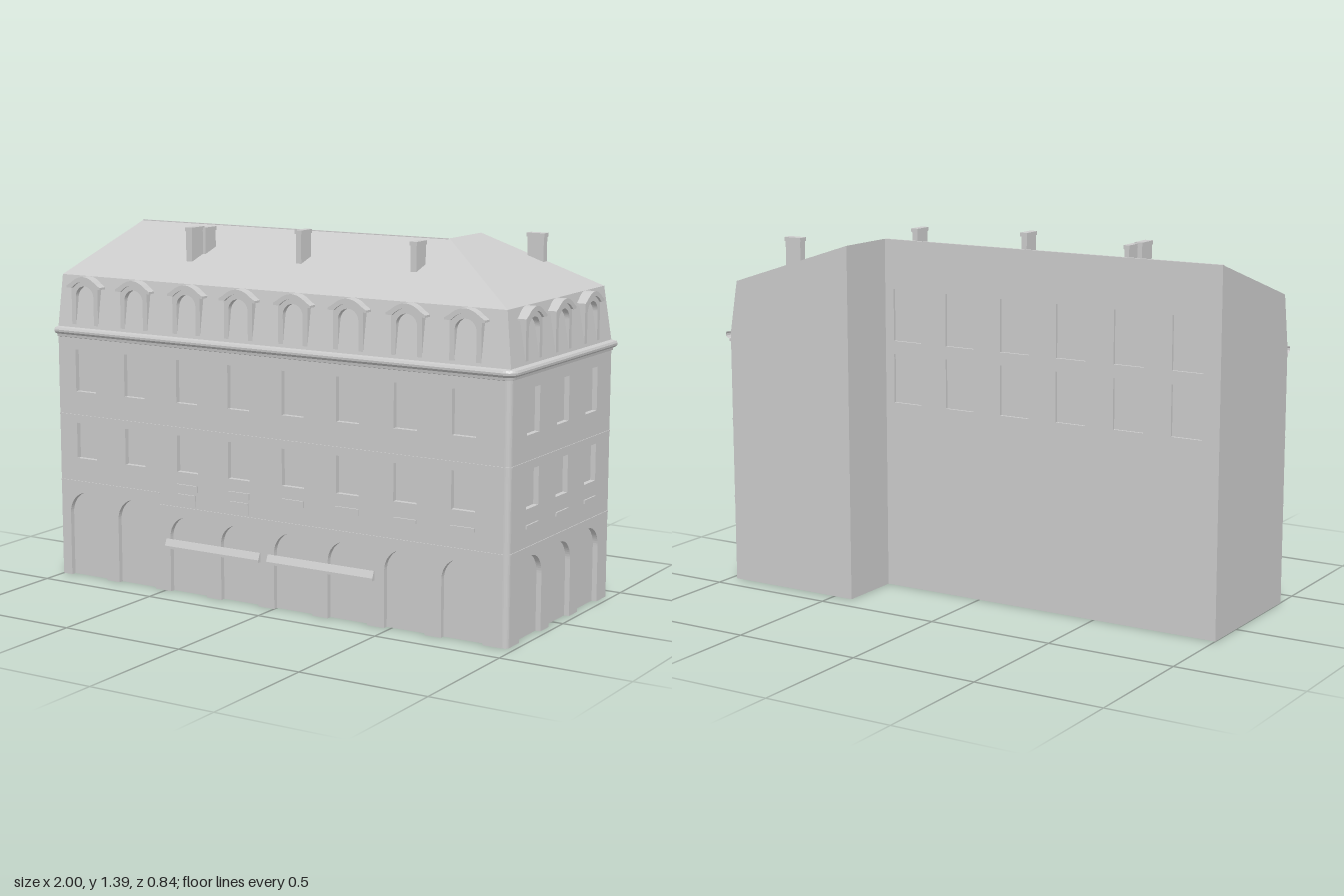
import * as THREE from 'three';

const mat = new THREE.MeshStandardMaterial({ color: 0xcccccc, side: THREE.DoubleSide, flatShading: true });
const FRONT = 0.395, RIGHT = 0.975, BACK = -0.42, R = 0.02; // wall faces and corner radius
const INNER_X = 0.42, INNER_Z = -0.17, RIDGE = 1.36, EAVES = 1.19, CORNICE = 0.985;
const frontCols = [-0.87, -0.635, -0.39, -0.155, 0.085, 0.32, 0.56, 0.795];
const sideCols = [-0.217, 0.018, 0.255]; // measured along -z

function add(parent, name, geo, x = 0, y = 0, z = 0) {
  const m = new THREE.Mesh(geo, mat);
  m.name = name;
  m.position.set(x, y, z);
  parent.add(m);
  return m;
}

function box(parent, name, x0, x1, y0, y1, z0, z1) {
  return add(parent, name, new THREE.BoxGeometry(x1 - x0, y1 - y0, z1 - z0),
    (x0 + x1) / 2, (y0 + y1) / 2, (z0 + z1) / 2);
}

// flat convex polygon as a triangle fan
function poly(parent, name, pts) {
  const pos = [];
  for (let i = 1; i < pts.length - 1; i++) pos.push(...pts[0], ...pts[i], ...pts[i + 1]);
  const g = new THREE.BufferGeometry();
  g.setAttribute('position', new THREE.Float32BufferAttribute(pos, 3));
  g.computeVertexNormals();
  return add(parent, name, g);
}

function rectPath(x0, x1, y0, y1) {
  return new THREE.Path([[x0, y0], [x0, y1], [x1, y1], [x1, y0]].map(p => new THREE.Vector2(...p)));
}

function extrude(shape, depth) {
  const g = new THREE.ExtrudeGeometry(shape, { depth, bevelEnabled: false, curveSegments: 14 });
  g.translate(0, 0, -depth);
  return g;
}

// wall with open arches at the ground, window holes and a recessed backing
function wall(parent, name, u0, u1, height, arches, windows, depth) {
  const g = new THREE.Group();
  g.name = name;
  const s = new THREE.Shape();
  s.moveTo(u0, 0);
  for (const [u, top, r] of arches) {
    s.lineTo(u - r, 0);
    s.lineTo(u - r, top - r);
    s.absarc(u, top - r, r, Math.PI, 0, true);
    s.lineTo(u + r, 0);
  }
  s.lineTo(u1, 0);
  s.lineTo(u1, height);
  s.lineTo(u0, height);
  for (const w of windows) s.holes.push(rectPath(...w));
  add(g, 'wallFace', extrude(s, depth));
  add(g, 'windowPanes', new THREE.PlaneGeometry(u1 - u0, height), (u0 + u1) / 2, height / 2, -depth);
  parent.add(g);
  return g;
}

// sweep an [offset, height] profile along the front, round the corner and along the side
function sweep(parent, name, profile, startX = -1, cornerOnly = false) {
  const path = cornerOnly ? [] : [[startX, FRONT, 0, 1]];
  for (let i = 0; i <= 6; i++) {
    const a = Math.PI / 2 * (1 - i / 6), c = Math.cos(a), s = Math.sin(a);
    path.push([RIGHT - R + R * c, FRONT - R + R * s, c, s]);
  }
  if (!cornerOnly) path.push([RIGHT, BACK, 1, 0]);
  const pos = [], idx = [], n = profile.length;
  for (const [x, z, nx, nz] of path) for (const [o, y] of profile) pos.push(x + nx * o, y, z + nz * o);
  for (let i = 0; i < path.length - 1; i++) for (let j = 0; j < n - 1; j++) {
    const a = i * n + j, b = a + n;
    idx.push(a, b, a + 1, b, b + 1, a + 1);
  }
  const g = new THREE.BufferGeometry();
  g.setAttribute('position', new THREE.Float32BufferAttribute(pos, 3));
  g.setIndex(idx);
  g.computeVertexNormals();
  add(parent, name, g);
}

// arched dormer whose opening shows the steep roof behind it
function dormer(parent, u) {
  const g = new THREE.Group();
  g.name = 'dormer';
  const body = new THREE.Shape();
  body.moveTo(-0.063, 0.985);
  body.lineTo(0.063, 0.985);
  body.lineTo(0.063, 1.155);
  body.quadraticCurveTo(0, 1.2, -0.063, 1.155);
  const hole = new THREE.Path();
  hole.moveTo(-0.043, 0.995);
  hole.lineTo(0.043, 0.995);
  hole.lineTo(0.043, 1.11);
  hole.absarc(0, 1.11, 0.043, 0, Math.PI, false);
  body.holes.push(hole);
  add(g, 'dormerFrame', extrude(body, 0.045), 0, 0, -0.003);
  const hood = new THREE.Shape();
  hood.moveTo(-0.08, 1.145);
  hood.lineTo(-0.08, 1.153);
  hood.lineTo(-0.06, 1.165);
  hood.quadraticCurveTo(0, 1.215, 0.06, 1.165);
  hood.lineTo(0.08, 1.153);
  hood.lineTo(0.08, 1.145);
  hood.lineTo(0.055, 1.145);
  hood.quadraticCurveTo(0, 1.2, -0.055, 1.145);
  add(g, 'dormerHood', extrude(hood, 0.055), 0, 0, 0.006);
  g.position.x = u;
  parent.add(g);
}

function chimney(parent, x0, x1, y0, y1, z0, z1) {
  box(parent, 'chimneyStack', x0 + 0.003, x1 - 0.003, y0, y1 - 0.015, z0 + 0.003, z1 - 0.003);
  box(parent, 'chimneyCap', x0, x1, y1 - 0.015, y1, z0, z1);
}

export function createModel() {
  const root = new THREE.Group();
  root.name = 'cornerBuilding';
  const windowsAt = cols => cols.flatMap(u => [[u - 0.048, u + 0.048, 0.74, 0.905], [u - 0.048, u + 0.048, 0.475, 0.615]]);

  // street walls
  const front = wall(root, 'frontWall', -1, RIGHT - R, CORNICE,
    frontCols.map((u, i) => [u, i < 2 ? 0.34 : 0.3, i < 2 ? 0.088 : 0.084]), windowsAt(frontCols), 0.02);
  front.position.z = FRONT;
  const side = wall(root, 'sideWall', -FRONT + R, -BACK, CORNICE,
    sideCols.map(u => [u, 0.3, 0.084]), windowsAt(sideCols), 0.02);
  side.rotation.y = Math.PI / 2;
  side.position.x = RIGHT;
  sweep(root, 'roundedCorner', [[0, 0], [0, CORNICE]], -1, true);

  // courtyard wall with two rows of windows
  const rear = wall(root, 'rearWall', -INNER_X, 1, RIDGE, [],
    [0.32, 0.085, -0.155, -0.395, -0.635, -0.87].flatMap(x =>
      [[-x - 0.062, -x + 0.062, 0.97, 1.17], [-x - 0.062, -x + 0.062, 0.73, 0.92]]), 0.01);
  rear.rotation.y = Math.PI;
  rear.position.z = INNER_Z;

  // plain party walls
  poly(root, 'leftEndWall', [[-1, 0, INNER_Z], [-1, 0, FRONT], [-1, CORNICE, FRONT], [-1, EAVES, 0.36], [-1, RIDGE, INNER_Z]]);
  poly(root, 'wingInnerWall', [[INNER_X, 0, BACK], [INNER_X, 0, INNER_Z], [INNER_X, RIDGE, INNER_Z], [INNER_X, RIDGE, BACK]]);
  poly(root, 'wingEndWall', [[RIGHT, 0, BACK], [INNER_X, 0, BACK], [INNER_X, RIDGE, BACK], [0.94, EAVES, BACK], [RIGHT, CORNICE, BACK]]);

  // steep lower roof and shallow upper roof, mitred at the corner
  poly(root, 'frontLowerRoof', [[-1, CORNICE, FRONT], [RIGHT, CORNICE, FRONT], [0.94, EAVES, 0.36], [-1, EAVES, 0.36]]);
  poly(root, 'sideLowerRoof', [[RIGHT, CORNICE, FRONT], [RIGHT, CORNICE, BACK], [0.94, EAVES, BACK], [0.94, EAVES, 0.36]]);
  poly(root, 'frontUpperRoof', [[-1, EAVES, 0.36], [0.94, EAVES, 0.36], [INNER_X, RIDGE, INNER_Z], [-1, RIDGE, INNER_Z]]);
  poly(root, 'sideUpperRoof', [[0.94, EAVES, 0.36], [0.94, EAVES, BACK], [INNER_X, RIDGE, BACK], [INNER_X, RIDGE, INNER_Z]]);

  // cornice and string courses
  sweep(root, 'cornice', [[0, 0.95], [0.006, 0.952], [0.008, 0.962], [0.017, 0.965], [0.024, 0.972],
    [0.025, 0.98], [0.021, 0.988], [0, 0.991], [-0.02, 0.991]]);
  const course = y => [[0, y - 0.003], [0.003, y - 0.003], [0.003, y + 0.003], [0, y + 0.003]];
  sweep(root, 'upperStringCourse', course(0.645));
  sweep(root, 'lowerStringCourse', course(0.335), -0.52);
  box(front, 'leftStringCourse', -1, -0.52, 0.378, 0.384, 0, 0.003);

  // sills, panels and awnings
  frontCols.slice(2).forEach((u, i) => box(front, 'sill', u - 0.048, u + 0.048, 0.404, i < 4 ? 0.428 : 0.418, 0, 0.006));
  sideCols.forEach(u => box(side, 'sill', u - 0.048, u + 0.048, 0.404, 0.418, 0, 0.006));
  [-0.395, -0.155].forEach(u => box(front, 'wallPanel', u - 0.043, u + 0.043, 0.345, 0.39, 0, 0.005));
  for (const [x0, x1] of [[-0.49, -0.06], [-0.025, 0.435]]) {
    const s = new THREE.Shape([[0, 0.172], [-0.015, 0.172], [-0.015, 0.182], [-0.004, 0.207], [0, 0.207]].map(p => new THREE.Vector2(...p)));
    const awning = add(front, 'awning', extrude(s, x1 - x0), x0, 0, 0);
    awning.rotation.y = -Math.PI / 2;
    awning.scale.set(-1, 1, 1);
    awning.geometry.scale(1, 1, -1).translate(0, 0, -(x1 - x0));
    awning.geometry.dispose();
    // profile depth runs outward, length runs along the wall
    awning.rotation.y = 0;
    awning.scale.set(1, 1, 1);
    const p = awning.geometry.attributes.position;
    for (let i = 0; i < p.count; i++) p.setXYZ(i, -p.getZ(i), p.getY(i), -p.getX(i));
    awning.geometry.computeBoundingBox();
    awning.position.x = x0 - awning.geometry.boundingBox.min.x;
    awning.geometry.computeVertexNormals();
  }

  // dormers
  frontCols.forEach(u => dormer(front, u));
  sideCols.forEach(u => dormer(side, u));

  // chimneys
  chimney(root, -0.525, -0.5, 1.24, 1.375, 0.03, 0.105);
  chimney(root, -0.545, -0.512, 1.22, 1.38, 0.095, 0.178);
  chimney(root, -0.075, -0.045, 1.24, 1.39, 0.055, 0.13);
  chimney(root, 0.42, 0.45, 1.24, 1.375, 0.055, 0.13);
  chimney(root, 0.632, 0.706, 1.25, 1.375, BACK, -0.385);
  return root;
}
